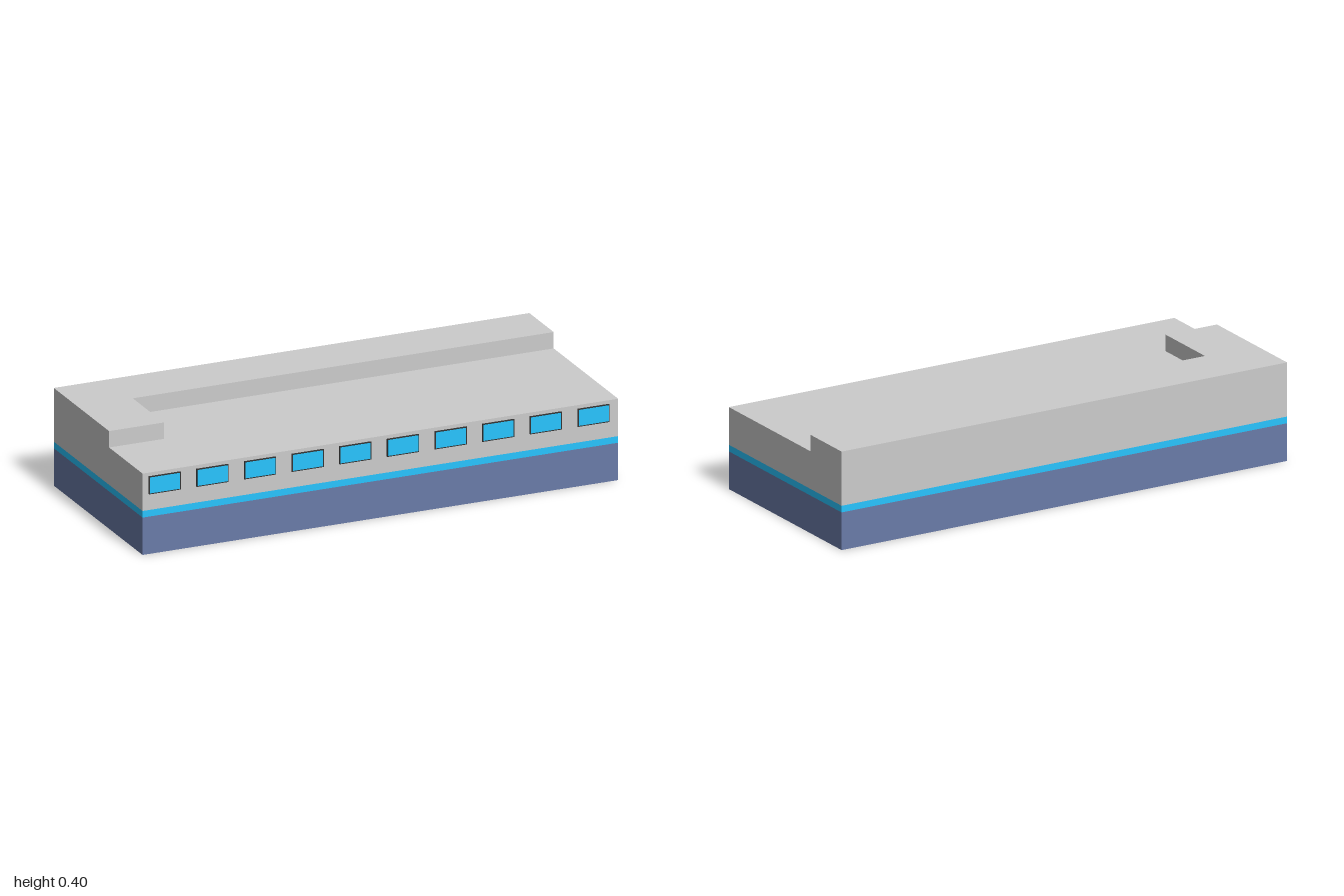
import * as THREE from 'three';

const BACK = -0.418, FRONT = 0.414;
const mat = (color) => new THREE.MeshStandardMaterial({ color });

export function createModel() {
  const group = new THREE.Group();
  const navy = mat(0x6a7ba8), cyan = mat(0x28c5ff), grey = mat(0xcccccc), dark = mat(0x333333);

  // Box given by its lower and upper corners
  const block = (name, material, [x0, y0, z0], [x1, y1, z1], parent = group) => {
    const mesh = new THREE.Mesh(new THREE.BoxGeometry(x1 - x0, y1 - y0, z1 - z0), material);
    mesh.position.set((x0 + x1) / 2, (y0 + y1) / 2, (z0 + z1) / 2);
    mesh.name = name;
    parent.add(mesh);
  };

  // Slab given by its plan outline of [x, z] points
  const slab = (name, material, outline, y0, y1) => {
    const shape = new THREE.Shape(outline.map(([x, z]) => new THREE.Vector2(x, -z)));
    const geo = new THREE.ExtrudeGeometry(shape, { depth: y1 - y0, bevelEnabled: false });
    geo.rotateX(-Math.PI / 2);
    const mesh = new THREE.Mesh(geo, material);
    mesh.position.y = y0;
    mesh.name = name;
    group.add(mesh);
  };

  // Stacked storeys
  block('base', navy, [-1, 0, BACK], [1, 0.153, FRONT]);
  block('stripe', cyan, [-1, 0.153, BACK], [1, 0.18, FRONT]);

  // Tall L-shaped wing along the back and one end
  slab('tallWing', grey, [
    [-1, BACK], [-1, 0.1], [-0.77, 0.1], [-0.77, -0.19], [1, -0.19], [1, BACK],
  ], 0.18, 0.4);

  // Lower wing filling the rest of the plan
  slab('lowWing', grey, [
    [-1, 0.1], [-1, FRONT], [1, FRONT], [1, -0.19], [-0.77, -0.19], [-0.77, 0.1],
  ], 0.18, 0.333);

  // Row of windows on the front: thin dark frame with a blue pane
  for (let i = 0; i < 10; i++) {
    const window = new THREE.Group();
    window.name = `window${i + 1}`;
    window.position.set(-0.908 + i * 0.2003, 0.282, FRONT);
    block('frame', dark, [-0.067, -0.0365, -0.002], [0.067, 0.0365, 0.005], window);
    block('pane', cyan, [-0.063, -0.0325, 0], [0.063, 0.0325, 0.006], window);
    group.add(window);
  }
  return group;
}
